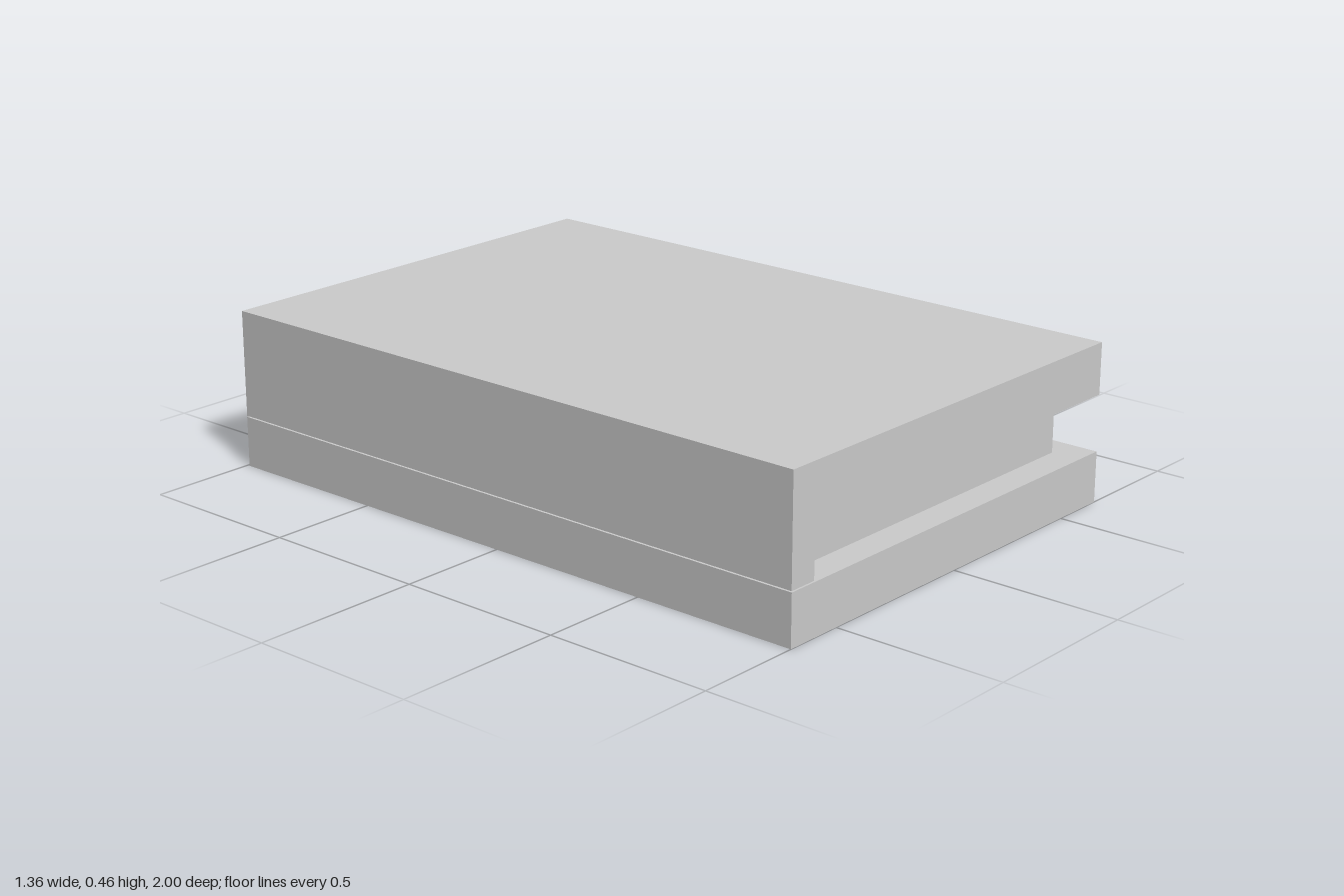
import * as THREE from 'three';

const material = new THREE.MeshStandardMaterial({ color: 0xcccccc, flatShading: true });

// Box given by its extents on each axis
function slab(name, [x0, x1], [y0, y1], [z0, z1]) {
  const mesh = new THREE.Mesh(new THREE.BoxGeometry(x1 - x0, y1 - y0, z1 - z0), material);
  mesh.position.set((x0 + x1) / 2, (y0 + y1) / 2, (z0 + z1) / 2);
  mesh.name = name;
  return mesh;
}

export function createModel() {
  const book = new THREE.Group();
  book.name = 'book';

  // Lower cover and the inset page block
  book.add(slab('bottomCover', [-0.679, 0.668], [0, 0.149], [-0.992, 1]));
  book.add(slab('pages', [-0.584, 0.544], [0.164, 0.311], [-0.901, 0.935]));

  // Upper cover and spine: one L-shaped section run along the depth
  const section = new THREE.Shape([
    [-0.672, 0.143], [-0.584, 0.143], [-0.584, 0.311],
    [0.676, 0.311], [0.676, 0.462], [-0.672, 0.462],
  ].map(([x, y]) => new THREE.Vector2(x, y)));
  const cover = new THREE.Mesh(
    new THREE.ExtrudeGeometry(section, { depth: 1.994, bevelEnabled: false }), material);
  cover.position.z = -1;
  cover.name = 'topCoverAndSpine';
  book.add(cover);

  return book;
}
